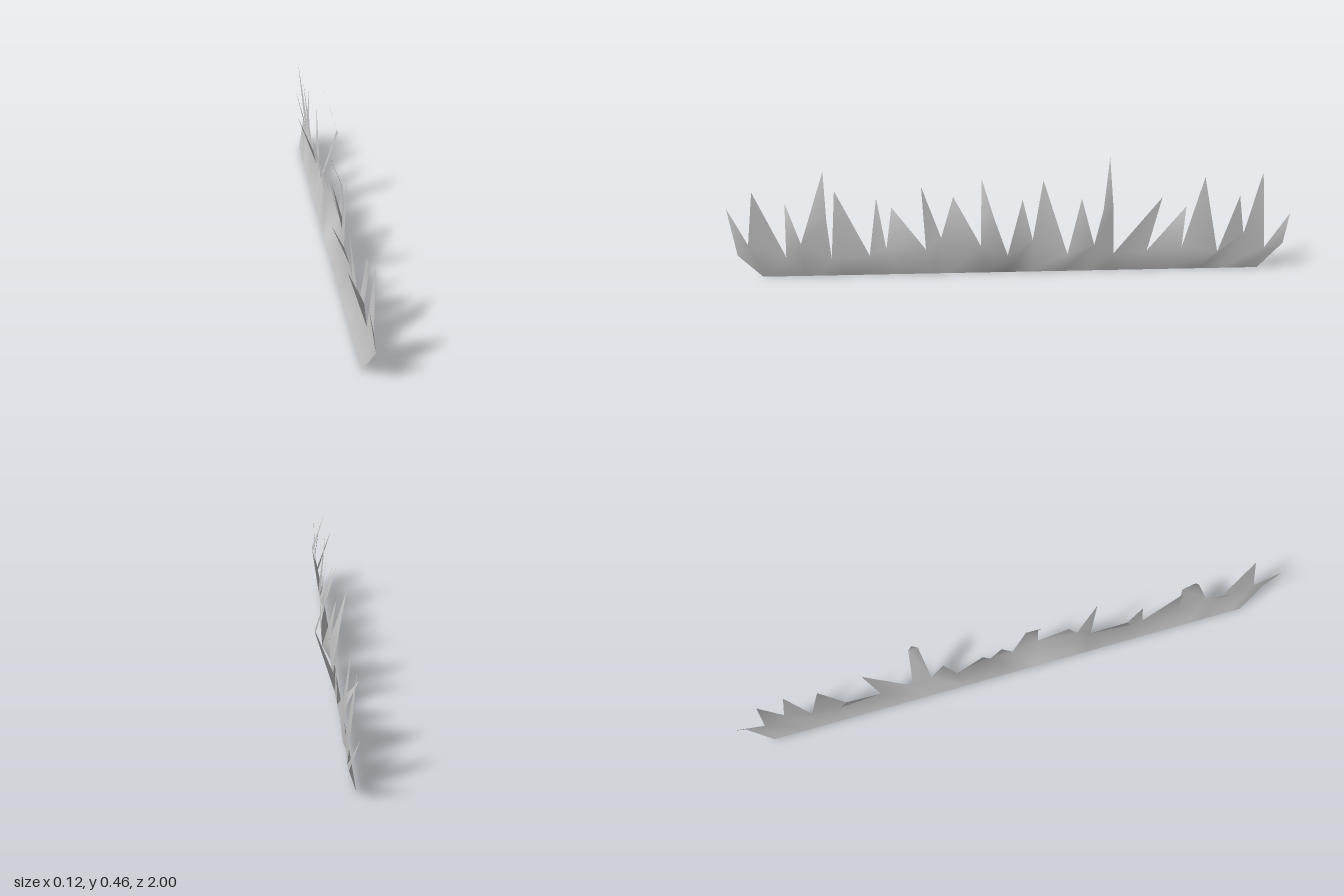
import * as THREE from 'three';

// Notches between blades, along z: [z, y, x]
const notches = [
  [0.97, 0.10], [0.93, 0.14], [0.80, 0.09], [0.745, 0.14], [0.64, 0.08], [0.505, 0.09], [0.445, 0.115],
  [0.305, 0.11], [0.25, 0.155], [0.11, 0.13, 0.018], [0.015, 0.09, 0.018], [-0.075, 0.14], [-0.20, 0.08],
  [-0.295, 0.115], [-0.365, 0.08], [-0.485, 0.09], [-0.61, 0.10], [-0.74, 0.08], [-0.83, 0.15],
  [-0.91, 0.095], [-0.975, 0.11],
];

// One blade between each pair of notches: tip [z, y, x], then an optional bend [y, x]
const blades = [
  [1.0, 0.27, -0.03], [0.90, 0.345, 0.005], [0.80, 0.275, -0.06], [0.655, 0.405, -0.03, 0.24, 0.02],
  [0.62, 0.33, -0.03], [0.475, 0.30, -0.03], [0.425, 0.25, -0.06], [0.315, 0.355, 0.005],
  [0.205, 0.30, -0.03], [0.105, 0.37, -0.03, 0.24, 0.02], [-0.04, 0.285, -0.03], [-0.115, 0.345, -0.06],
  [-0.25, 0.285, -0.03], [-0.34, 0.455, 0.007, 0.28, 0.06], [-0.53, 0.30, 0.005], [-0.63, 0.235, -0.06],
  [-0.685, 0.36, -0.03], [-0.805, 0.30, 0.005], [-0.89, 0.375, -0.03], [-1.0, 0.215, -0.03],
];

export function createModel() {
  const positions = [];
  const index = [];
  const add = (x, y, z) => positions.push(x, y, z) / 3 - 1;
  const quad = (a, b, c, d) => index.push(a, b, c, a, c, d);

  // Straight root edge and the notch line above it
  const root = notches.map(([z]) => add(-0.03, 0, z * 0.92));
  const rim = notches.map(([z, y, x = -0.002]) => add(x, y, z));

  blades.forEach(([z, y, x, bendY, bendX], i) => {
    quad(root[i], root[i + 1], rim[i + 1], rim[i]);
    let [a, b] = [rim[i], rim[i + 1]];
    // Bent blades get a crosswise fold on the way to the tip
    if (bendY) {
      const fold = ([nz, ny]) => add(bendX, bendY, nz + (z - nz) * (bendY - ny) / (y - ny));
      const c = fold(notches[i]);
      const d = fold(notches[i + 1]);
      quad(a, b, d, c);
      [a, b] = [c, d];
    }
    index.push(a, b, add(x, y, z));
  });

  const geometry = new THREE.BufferGeometry();
  geometry.setAttribute('position', new THREE.Float32BufferAttribute(positions, 3));
  geometry.setIndex(index);
  geometry.computeVertexNormals();

  const grass = new THREE.Mesh(
    geometry,
    new THREE.MeshStandardMaterial({ color: 0xcccccc, side: THREE.DoubleSide }),
  );
  grass.name = 'grassStrip';
  const group = new THREE.Group();
  group.name = 'grass';
  group.add(grass);
  return group;
}
